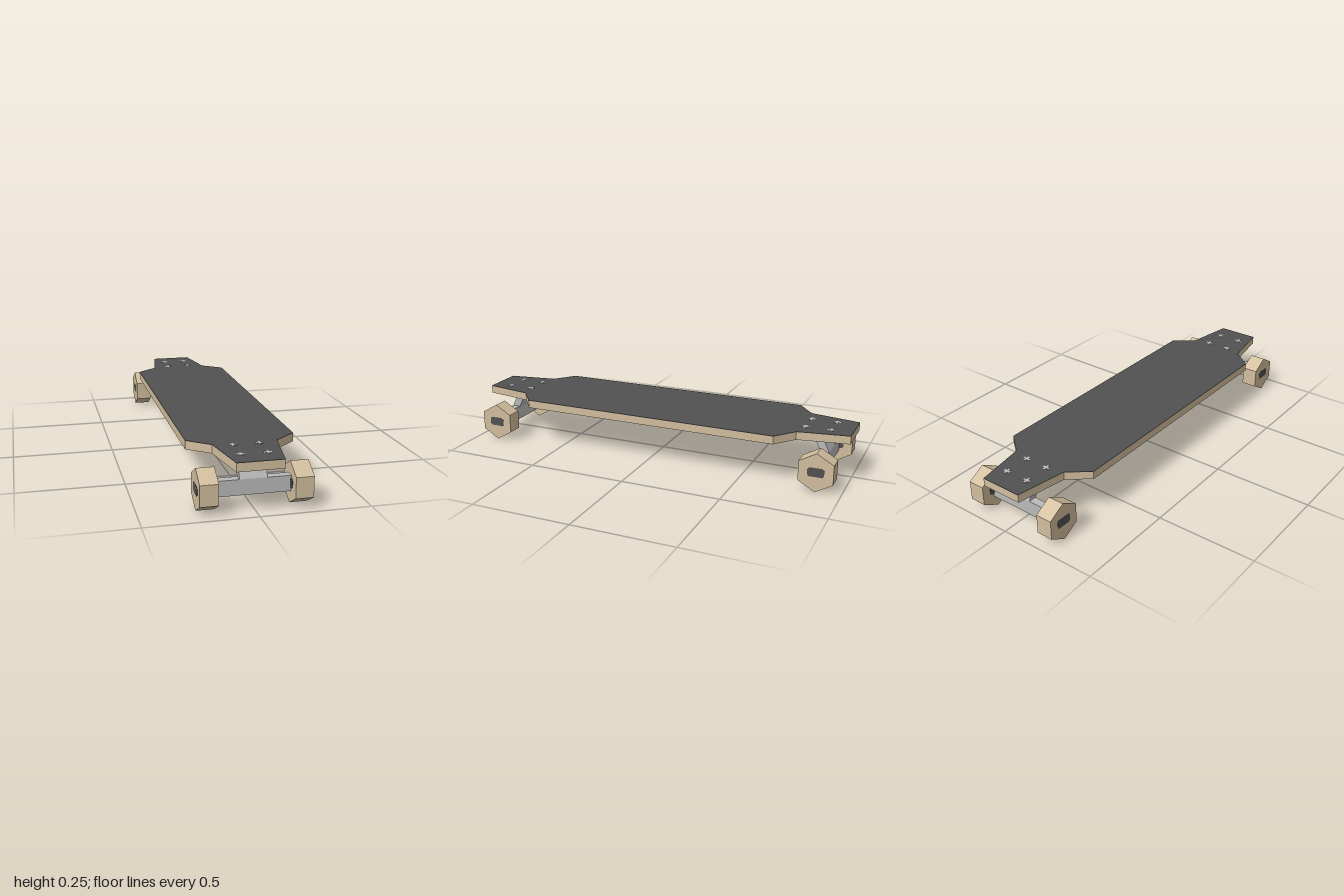
import * as THREE from 'three';

const mat = (name, color) => {
  const m = new THREE.MeshStandardMaterial({ color });
  m.name = name;
  return m;
};

export function createModel() {
  const wood = mat('wood', 0xd2be9e);
  const grip = mat('dark grip', 0x515151);
  const steel = mat('steel', 0xbababa);

  const board = new THREE.Group();
  board.name = 'longboard';

  const add = (parent, name, geometry, material, x = 0, y = 0, z = 0) => {
    const mesh = new THREE.Mesh(geometry, material);
    mesh.name = name;
    mesh.position.set(x, y, z);
    parent.add(mesh);
    return mesh;
  };
  const extrude = (points, depth) => new THREE.ExtrudeGeometry(
    new THREE.Shape(points.map(([x, y]) => new THREE.Vector2(x, y))),
    { depth, bevelEnabled: false });

  // Deck outline in x and z, with narrowed ends beside the wheels
  const quarter = [[0.25, 0.667], [0.147, 0.75], [0.105, 1]];
  const half = [...quarter, ...quarter.map(([x, z]) => [-x, z]).reverse()];
  const outline = [...half, ...half.map(([x, z]) => [-x, -z])];
  const slab = (depth) => extrude(outline, depth).rotateX(Math.PI / 2);
  add(board, 'deck', slab(0.039), wood, 0, 0.245, 0);
  add(board, 'gripSurface', slab(0.002), grip, 0, 0.247, 0);

  // Shared truck shapes
  const wheelGeo = new THREE.CylinderGeometry(0.0965, 0.0965, 0.082, 6)
    .rotateZ(Math.PI / 2).toNonIndexed();
  wheelGeo.rotateX(Math.PI / 2);
  // Turn the hexagon so that a corner points straight up
  const p = wheelGeo.attributes.position;
  let top = 0;
  for (let i = 0; i < p.count; i++) top = Math.max(top, p.getY(i));
  if (top < 0.09) wheelGeo.rotateX(Math.PI / 6);
  wheelGeo.computeVertexNormals();

  const hubGeo = extrude([
    [0.04, -0.014], [0.04, 0.014], [0.032, 0.022], [-0.032, 0.022],
    [-0.04, 0.014], [-0.04, -0.014], [-0.032, -0.022], [0.032, -0.022],
  ], 0.086).translate(0, 0, -0.043).rotateY(Math.PI / 2);

  // Slanted block in z and y, stretched across x
  const hangerGeo = extrude([
    [-0.815, 0.207], [-0.858, 0.207], [-0.895, 0.132], [-0.895, 0.1], [-0.86, 0.115],
  ], 0.124).translate(0, 0, -0.062).rotateY(Math.PI / 2);

  const cross = (long, wide) => new THREE.BoxGeometry(long, 0.003, wide);

  for (const end of [1, -1]) {
    const truck = new THREE.Group();
    truck.name = end > 0 ? 'frontTruck' : 'backTruck';
    truck.rotation.y = end > 0 ? 0 : Math.PI;
    board.add(truck);

    add(truck, 'axle', new THREE.BoxGeometry(0.336, 0.072, 0.04), steel, 0, 0.096, 0.875);
    add(truck, 'hanger', hangerGeo, steel);
    add(truck, 'basePlate', new THREE.BoxGeometry(0.16, 0.003, 0.19), steel, 0, 0.2055, 0.833);

    for (const side of [1, -1]) {
      add(truck, 'wheel', wheelGeo, wood, side * 0.209, 0.0965, 0.877);
      add(truck, 'hub', hubGeo, grip, side * 0.208, 0.0985, 0.877);
      // Cross-shaped bolt heads on the deck
      for (const z of [0.772, 0.898]) {
        add(truck, 'bolt', cross(0.036, 0.012), steel, side * 0.06, 0.247, z);
        add(truck, 'bolt', cross(0.012, 0.036), steel, side * 0.06, 0.247, z);
      }
    }
  }
  return board;
}
